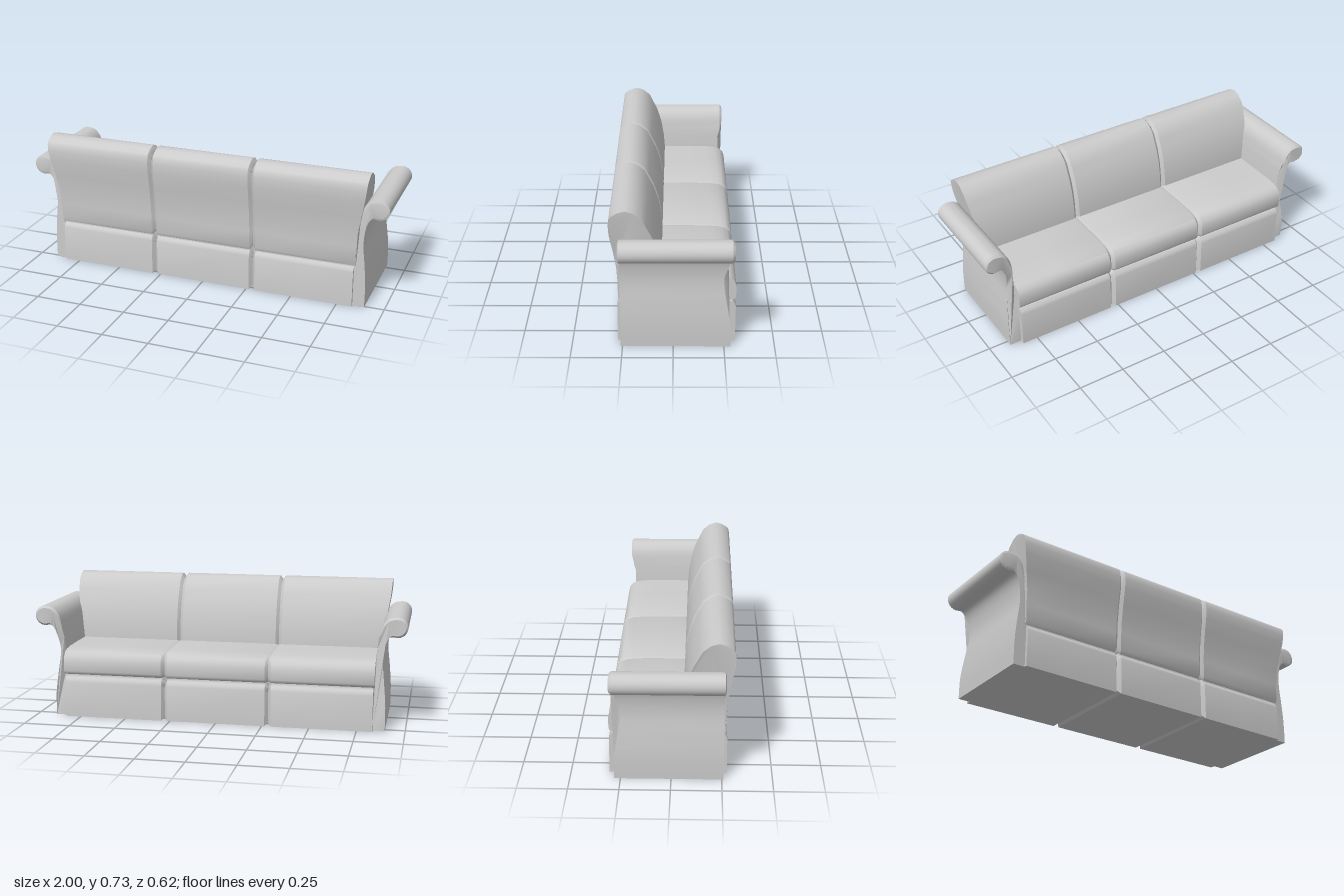
import * as THREE from 'three';
import { toCreasedNormals } from 'three/addons/utils/BufferGeometryUtils.js';

const { smoothstep } = THREE.MathUtils;
const material = new THREE.MeshStandardMaterial({ color: 0xcccccc });

// Extrude an outline through four stations; place(p, i) positions the outline at station i.
function loft(name, outline, place) {
  const shape = new THREE.Shape(outline);
  const raw = new THREE.ExtrudeGeometry(shape, { depth: 3, steps: 3, bevelEnabled: false });
  const pos = raw.attributes.position;
  const p = new THREE.Vector3();
  for (let i = 0; i < pos.count; i++) {
    p.fromBufferAttribute(pos, i);
    place(p, Math.round(p.z));
    pos.setXYZ(i, p.x, p.y, p.z);
  }
  const mesh = new THREE.Mesh(toCreasedNormals(raw, 0.65), material);
  mesh.name = name;
  return mesh;
}

// One cushion or base block, its side outline given as [z, y], running along x.
// Edges are chamfered at seams and square at the outer ends.
function block(name, outline, side, { inset, end, flare = 0 }) {
  const pts = outline.map(([z, y]) => new THREE.Vector2(-z, y));
  const box = new THREE.Box2().setFromPoints(pts);
  const mid = box.getCenter(new THREE.Vector2());
  const size = box.getSize(new THREE.Vector2());
  const xs = side === 0 ? [-0.281, -0.265, 0.265, 0.281]
    : side > 0 ? [0.281, 0.297, 0.6, end] : [-end, -0.6, -0.297, -0.281];
  return loft(name, pts, (p, i) => {
    const isOuter = (side > 0 && i === 3) || (side < 0 && i === 0);
    const isSeam = (i === 0 || i === 3) && !isOuter;
    let x = xs[i];
    if (isOuter) x += side * flare * smoothstep(p.y, 0.33, 0.72);
    const u = isSeam ? mid.x + (p.x - mid.x) * (1 - 2 * inset[0] / size.x) : p.x;
    const v = isSeam ? mid.y + (p.y - mid.y) * (1 - 2 * inset[1] / size.y) : p.y;
    p.set(x, v, -u);
  });
}

// Side outlines [z, y]; the seat opens toward -z
const baseOutline = [
  [0.275, 0], [0.275, 0.195], [0.27, 0.21], [0.258, 0.222], [0.256, 0.24],
  [-0.265, 0.24], [-0.268, 0.22], [-0.29, 0.219], [-0.302, 0.207], [-0.308, 0.19], [-0.308, 0],
];
const seatOutline = [
  [0.12, 0.233], [0.12, 0.372], [-0.1, 0.372], [-0.2, 0.37], [-0.25, 0.365], [-0.28, 0.354],
  [-0.299, 0.335], [-0.308, 0.308], [-0.308, 0.252], [-0.303, 0.24], [-0.294, 0.233],
];
const backOutline = [
  [0.06, 0.235], [0.262, 0.23], [0.27, 0.248], [0.271, 0.34], [0.275, 0.41], [0.289, 0.51],
  [0.305, 0.6], [0.308, 0.655], [0.304, 0.69], [0.295, 0.704], [0.262, 0.724], [0.228, 0.733],
  [0.19, 0.722], [0.15, 0.69], [0.127, 0.645], [0.104, 0.6], [0.08, 0.53], [0.065, 0.45], [0.058, 0.37],
];

// Scrolled arm panel with a rolled top
function arm(name, side) {
  const spline = (list) => new THREE.SplineCurve(list.map(([x, y]) => new THREE.Vector2(x, y))).getPoints(20);
  const roll = [];
  for (let i = 1; i < 16; i++) {
    const a = -1.9 + (i / 16) * (Math.PI / 2 + 1.9);
    roll.push(new THREE.Vector2(0.947 + 0.053 * Math.cos(a), 0.549 + 0.053 * Math.sin(a)));
  }
  const outline = [
    ...spline([[0.895, 0], [0.895, 0.12], [0.886, 0.24], [0.876, 0.33], [0.877, 0.4],
      [0.888, 0.46], [0.907, 0.495], [0.928, 0.499]]),
    ...roll,
    ...spline([[0.947, 0.602], [0.91, 0.596], [0.88, 0.572], [0.861, 0.53], [0.848, 0.45],
      [0.838, 0.36], [0.833, 0.24], [0.83, 0]]),
  ].map((p) => new THREE.Vector2(side * p.x, p.y));
  const zs = [-0.292, -0.281, 0.258, 0.263];
  return loft(name, outline, (p, i) => {
    const isEnd = i === 0 || i === 3;
    let z = zs[i];
    if (p.y < 0.494) {
      // waisted front edge below the roll
      const waist = p.y < 0.35 ? smoothstep(p.y, 0.08, 0.35) : 1 - smoothstep(p.y, 0.35, 0.5);
      if (i < 2) z = -0.281 + 0.036 * waist - (i === 0 ? 0.001 : 0);
      if (i === 3) z = 0.259;
    } else if (isEnd) {
      // chamfered roll ends
      p.x = side * (0.935 + (Math.abs(p.x) - 0.935) * 0.85);
      p.y = 0.549 + (p.y - 0.549) * 0.8;
    }
    p.z = z;
  });
}

export function createModel() {
  const sofa = new THREE.Group();
  sofa.name = 'sofa';
  const places = [['right', -1], ['middle', 0], ['left', 1]];
  for (const [label, side] of places) {
    sofa.add(
      block(`${label}Base`, baseOutline, side, { inset: [0.02, 0.02], end: 0.832 }),
      block(`${label}SeatCushion`, seatOutline, side, { inset: [0.018, 0.006], end: 0.838 }),
      block(`${label}BackCushion`, backOutline, side, { inset: [0.018, 0.022], end: 0.84, flare: 0.052 }),
    );
  }
  sofa.add(arm('rightArm', -1), arm('leftArm', 1));
  return sofa;
}
